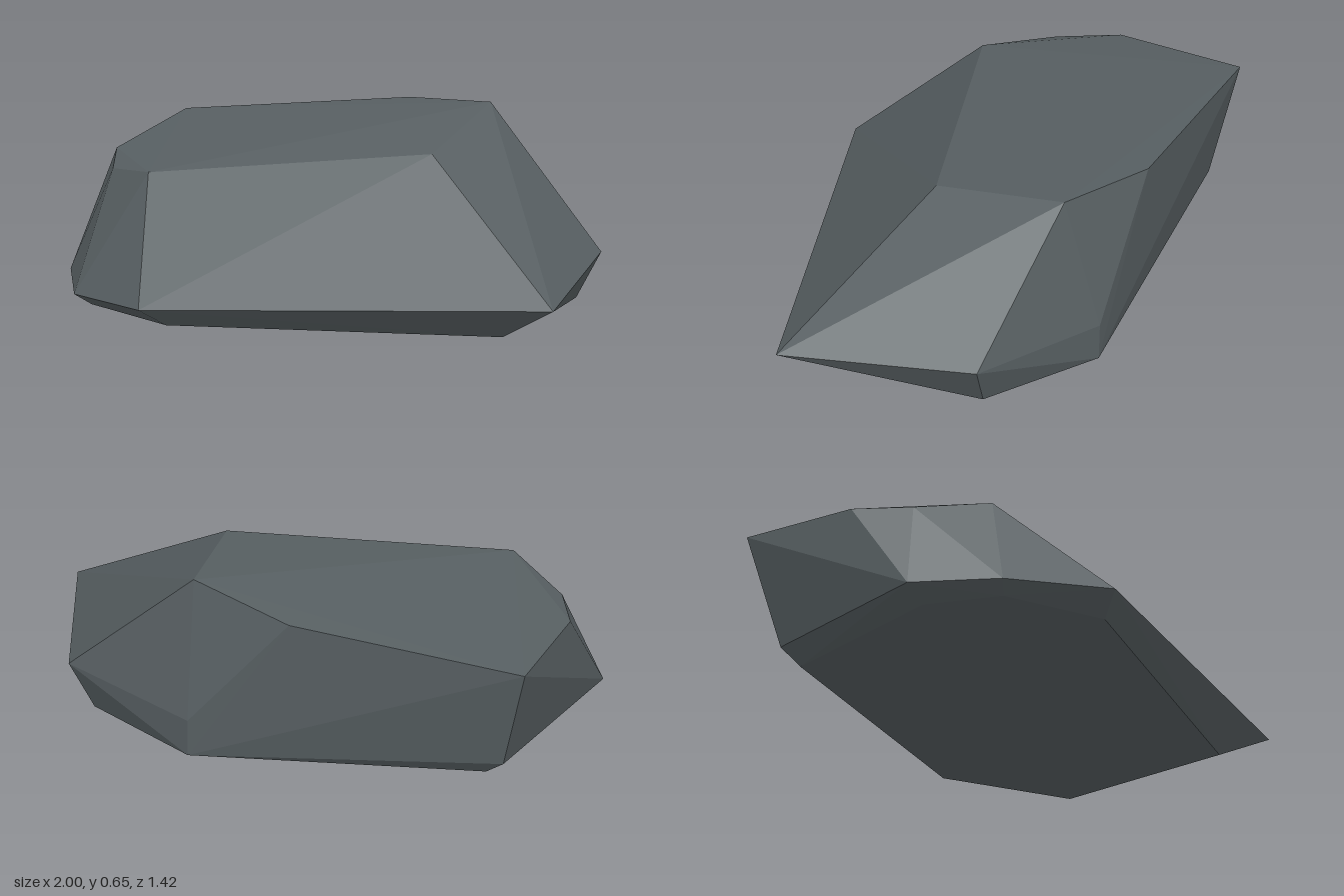
import * as THREE from 'three';
import { ConvexGeometry } from 'three/addons/geometries/ConvexGeometry.js';

export function createModel() {
  const model = new THREE.Group();
  model.name = 'boulder';
  const stone = new THREE.MeshStandardMaterial({ color: 0x586063 });
  stone.name = 'slate grey stone';

  // Chiselled corners of the sloping crown
  const crown = [
    [-0.96, 0.48, -0.59], [-0.10, 0.60, -0.70], [0.30, 0.655, -0.58],
    [0.34, 0.575, -0.07], [-0.63, 0.47, 0.29], [-0.87, 0.42, 0.12], [-0.97, 0.44, -0.09],
  ];
  // Widest outline, just above the ground
  const girth = [
    [1.0, 0.13, 0.22], [0.80, 0.175, -0.50], [0.28, 0.145, -0.715], [-0.855, 0.06, -0.52],
    [-1.0, 0.05, 0.20], [-0.82, 0.04, 0.50], [-0.44, 0.07, 0.71],
  ];
  // Flat underside, tucked in from the girth
  const foot = [
    [0.77, 0, 0.18], [0.71, 0, -0.475], [0.28, 0, -0.71], [-0.78, 0, -0.49],
    [-0.90, 0, 0.19], [-0.77, 0, 0.46], [-0.38, 0, 0.61],
  ];

  // One faceted convex stone spanning all the corners
  const corners = [...crown, ...girth, ...foot].map((p) => new THREE.Vector3(...p));
  const rock = new THREE.Mesh(new ConvexGeometry(corners), stone);
  rock.name = 'rock';
  model.add(rock);
  return model;
}
